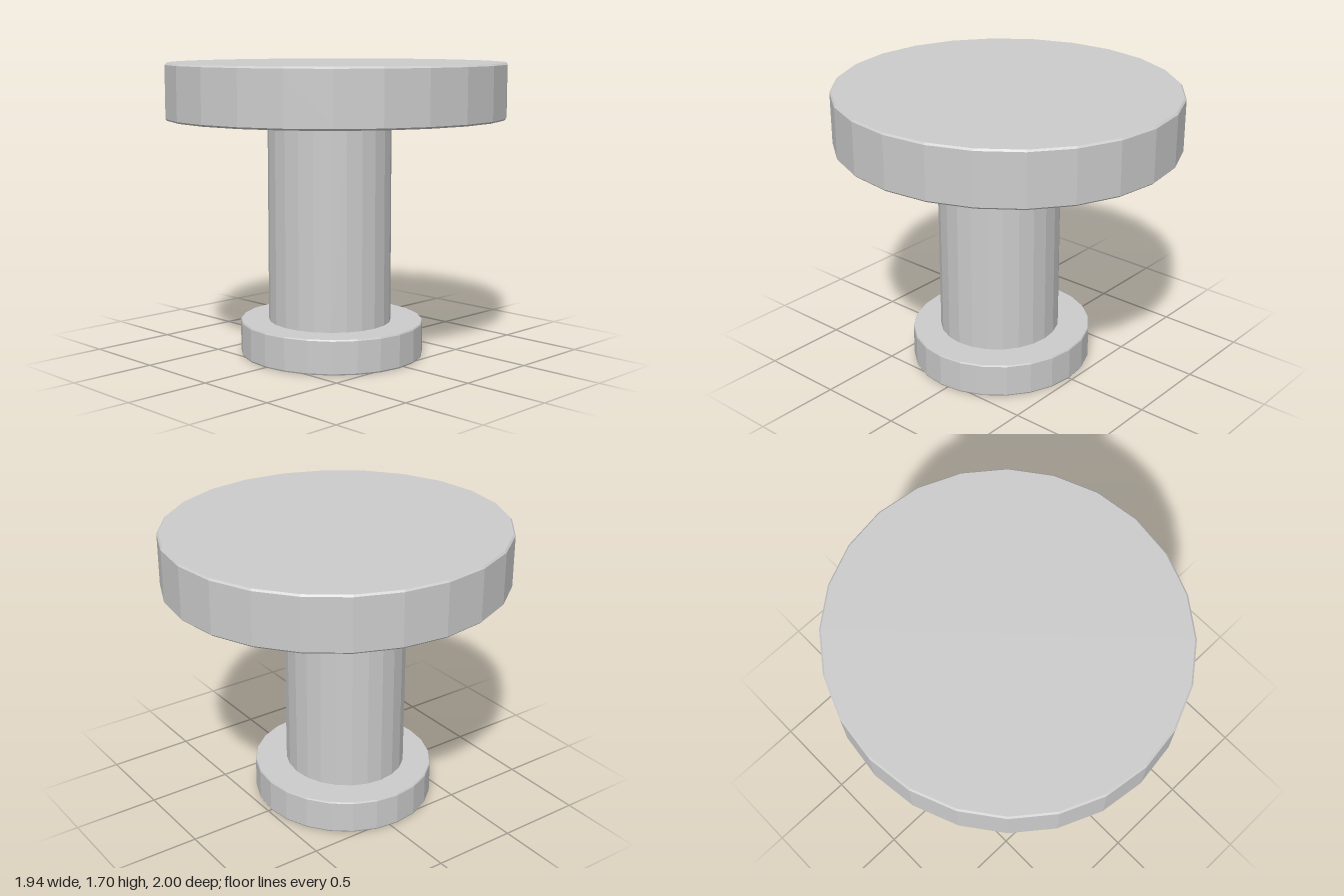
import * as THREE from 'three';

const material = new THREE.MeshStandardMaterial({ color: 0xcccccc, flatShading: true });

// Slightly oval disc with a fine bevel on both rims
function disc(name, rx, rz, y0, y1, z, bevel) {
  const profile = [
    [0, y0], [1 - bevel, y0], [1, y0 + bevel],
    [1, y1 - bevel], [1 - bevel, y1], [0, y1],
  ].map(([r, y]) => new THREE.Vector2(r, y));
  const geometry = new THREE.LatheGeometry(profile, 24);
  geometry.scale(rx, 1, rz);
  const mesh = new THREE.Mesh(geometry, material);
  mesh.name = name;
  mesh.position.z = z;
  return mesh;
}

export function createModel() {
  const group = new THREE.Group();
  group.name = 'pedestalTable';

  // Foot plate
  group.add(disc('base', 0.545, 0.525, 0, 0.2, 0.045, 0.008));

  // Column, its ends sunk into the base and the top
  const columnGeometry = new THREE.CylinderGeometry(1, 1, 1.22, 24, 1, true);
  columnGeometry.scale(0.365, 1, 0.35);
  const column = new THREE.Mesh(columnGeometry, material);
  column.name = 'column';
  column.position.set(0, 0.79, 0.06);
  group.add(column);

  // Round top
  group.add(disc('top', 0.97, 1, 1.38, 1.7, 0, 0.01));

  return group;
}
